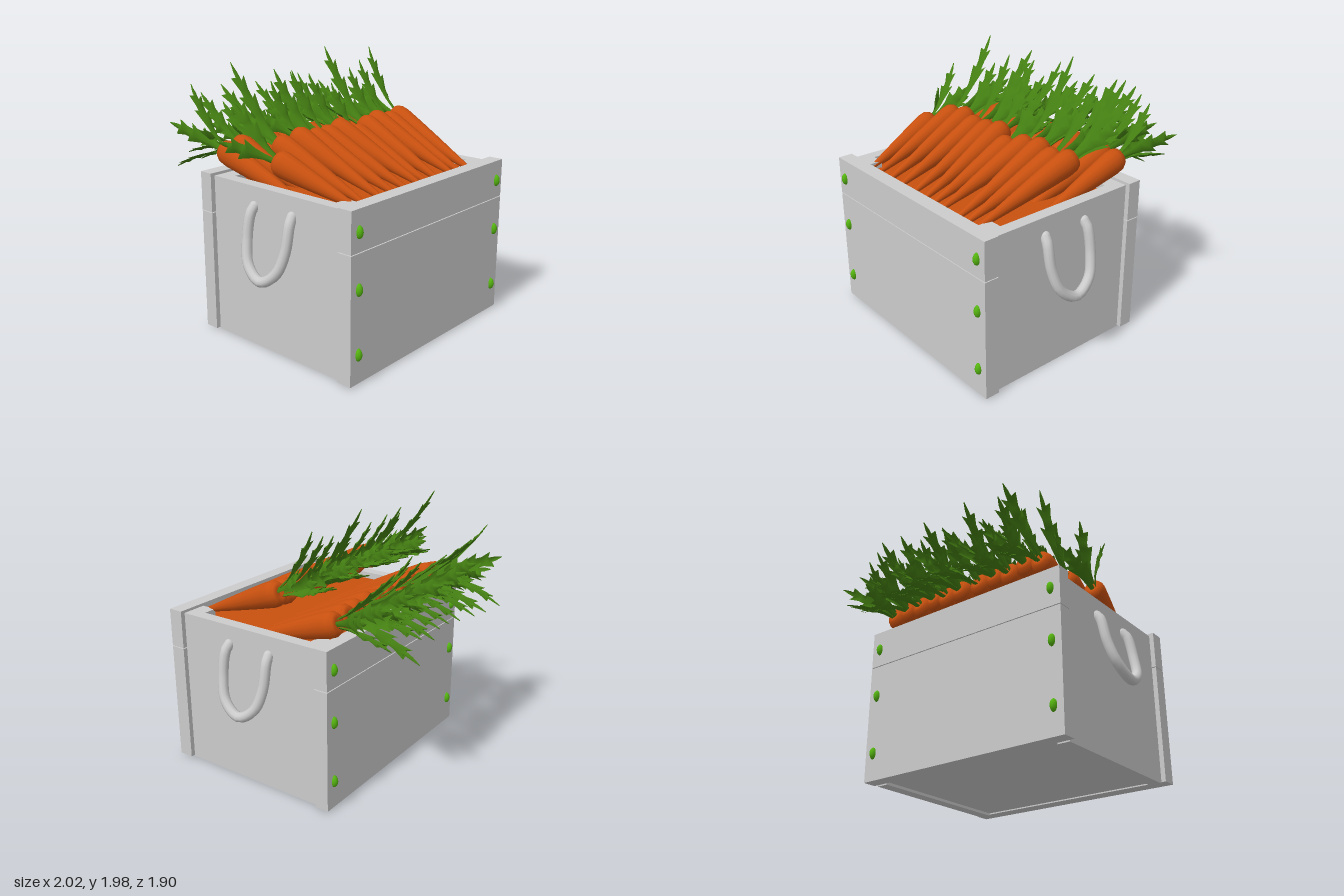
import * as THREE from 'three';

const grey = new THREE.MeshStandardMaterial({ color: 0xcccccc });
const orange = new THREE.MeshStandardMaterial({ color: 0xc8500f });
const green = new THREE.MeshStandardMaterial({ color: 0x447f12, side: THREE.DoubleSide });
const boltGreen = new THREE.MeshStandardMaterial({ color: 0x55b510 });

function add(parent, name, geometry, material, x = 0, y = 0, z = 0) {
  const mesh = new THREE.Mesh(geometry, material);
  mesh.name = name;
  mesh.position.set(x, y, z);
  parent.add(mesh);
  return mesh;
}

// Box given by its low and high corners
function board(parent, name, [x0, y0, z0], [x1, y1, z1], material = grey) {
  add(parent, name, new THREE.BoxGeometry(x1 - x0, y1 - y0, z1 - z0), material,
    (x0 + x1) / 2, (y0 + y1) / 2, (z0 + z1) / 2);
}

// Small seeded generator, values from -1 to 1
let seed = 7;
function jitter() {
  seed = (seed * 16807) % 2147483647;
  return (seed / 2147483647) * 2 - 1;
}

// Leaf along +y that bends to +z; each row: spine position, edge position, half width
const LEAF_ROWS = [
  [0, 0, 0.016], [0.25, 0.25, 0.022], [0.4, 0.42, 0.036], [0.5, 0.64, 0.074],
  [0.6, 0.6, 0.036], [0.68, 0.7, 0.036], [0.74, 0.85, 0.06], [0.82, 0.8, 0.02],
  [0.9, 0.9, 0.016], [1, 1, 0.002],
];

function leafGeometry(length, lean) {
  const positions = [], indices = [];
  LEAF_ROWS.forEach(([spine, edge, half], row) => {
    for (const side of [-1, 0, 1]) {
      const t = side ? edge : spine;
      const fold = side ? 0 : 0.3 * half + 0.006;
      positions.push(side * half, t * length, lean * t ** 1.4 + fold);
    }
    if (row === 0) return;
    for (let k = 0; k < 2; k++) {
      const a = (row - 1) * 3 + k, b = row * 3 + k;
      indices.push(a, a + 1, b + 1, a, b + 1, b);
    }
  });
  const geometry = new THREE.BufferGeometry();
  geometry.setAttribute('position', new THREE.Float32BufferAttribute(positions, 3));
  geometry.setIndex(indices);
  geometry.computeVertexNormals();
  return geometry;
}

// Root from tip (y = -0.84) to the dimple at the crown
const ROOT = new THREE.LatheGeometry([
  [0, -0.84], [0.014, -0.83], [0.026, -0.7], [0.05, -0.45], [0.07, -0.22],
  [0.081, -0.07], [0.078, -0.015], [0.062, 0.022], [0.035, 0.03], [0, 0.015],
].map(([r, y]) => new THREE.Vector2(r, y)), 14);

// One carrot: root pointing from head to tip, with a spray of leaves
function carrot(parent, name, head, tip, leaves) {
  const group = new THREE.Group();
  group.name = name;
  const up = head.clone().sub(tip);
  const scale = up.length() / 0.84;
  up.normalize();
  const out = new THREE.Vector3(1, 0, 0).cross(up).normalize();
  const across = up.clone().cross(out);
  group.quaternion.setFromRotationMatrix(new THREE.Matrix4().makeBasis(across, up, out));
  group.position.copy(head);
  add(group, 'carrotRoot', ROOT, orange).scale.set(1, scale, 1.15);
  for (const { roll, length, lean } of leaves) {
    const holder = new THREE.Group();
    holder.name = 'leafStalk';
    holder.rotation.y = roll;
    add(holder, 'leaf', leafGeometry(length, lean), green, 0, 0.01, 0.02);
    group.add(holder);
  }
  parent.add(group);
}

export function createModel() {
  const model = new THREE.Group();
  model.name = 'carrotCrate';

  // Front and back walls, two boards each
  for (const [name, z0, z1] of [['front', 0.86, 0.97], ['back', -0.43, -0.325]]) {
    board(model, name + 'LowerBoard', [-0.865, 0.01, z0], [0.865, 0.9, z1]);
    board(model, name + 'UpperBoard', [-0.865, 0.906, z0], [0.865, 1.19, z1]);
  }
  board(model, 'floor', [-0.74, 0.02, -0.33], [0.74, 0.07, 0.86]);

  for (const s of [-1, 1]) {
    // Side walls and inner corner posts
    const span = (a, b) => (s > 0 ? [a, b] : [-b, -a]);
    const [w0, w1] = span(0.74, 0.83);
    const [p0, p1] = span(0.64, 0.74);
    board(model, 'sideWall', [w0, 0, -0.325], [w1, 1.17, 0.86]);
    board(model, 'frontCornerPost', [p0, 0.07, 0.74], [p1, 1.17, 0.86]);
    board(model, 'backCornerPost', [p0, 0.07, -0.325], [p1, 1.17, -0.21]);

    // Rope handle hanging outward
    const path = new THREE.CatmullRomCurve3([
      [0.83, 1.03, 0.08], [0.862, 0.99, 0.076], [0.905, 0.8, 0.08], [0.945, 0.65, 0.13],
      [0.965, 0.57, 0.26], [0.945, 0.65, 0.39], [0.905, 0.8, 0.44],
      [0.862, 0.99, 0.444], [0.83, 1.03, 0.436],
    ].map(([x, y, z]) => new THREE.Vector3(s * x, y, z)));
    add(model, 'handle', new THREE.TubeGeometry(path, 28, 0.037, 10), grey);
    for (const z of [0.08, 0.436]) {
      add(model, 'handleEnd', new THREE.SphereGeometry(0.037, 10, 8), grey, s * 0.83, 1.03, z);
    }

    // Bolts
    for (const y of [0.215, 0.66, 1.04]) {
      for (const z of [0.968, -0.428]) {
        add(model, 'bolt', new THREE.SphereGeometry(1, 12, 8), boltGreen, s * 0.79, y, z)
          .scale.set(0.026, 0.045, 0.032);
      }
    }
  }

  // Packed carrots below the visible rows
  board(model, 'carrotBed', [-0.74, 0.9, -0.325], [0.74, 1.12, 0.86], orange);

  // Front row: head x, height, depth, tip x, tip depth, leaf length
  const frontRow = [
    [-0.73, 1.34, 0.22, -0.65, 0.84, 0.42], [-0.59, 1.41, 0.09, -0.55, 0.82, 0.57],
    [-0.42, 1.44, 0.09, -0.39, 0.84, 0.37], [-0.28, 1.415, 0.11, -0.25, 0.84, 0.48],
    [-0.15, 1.415, 0.1, -0.1, 0.82, 0.45], [-0.01, 1.44, 0.09, 0.04, 0.84, 0.38],
    [0.13, 1.385, 0.15, 0.13, 0.82, 0.36], [0.28, 1.425, 0.11, 0.24, 0.84, 0.58],
    [0.42, 1.44, 0.09, 0.42, 0.85, 0.38], [0.56, 1.415, 0.11, 0.51, 0.85, 0.46],
    [0.7, 1.435, 0.09, 0.62, 0.86, 0.53],
  ];
  frontRow.forEach(([x, y, z, tipX, tipZ, length], i) => {
    const side = i === 0 || i % 2 === 0 ? -1 : 1;
    carrot(model, 'frontCarrot', new THREE.Vector3(x, y, z), new THREE.Vector3(tipX, 1.13, tipZ), [
      { roll: 0.2 * jitter(), length, lean: length * 0.58 },
      { roll: side * 1.4, length: length * 0.8, lean: i === 0 ? 0.22 : 0.08 },
      { roll: -side * 0.8, length: 0.38, lean: 0.13 },
      { roll: Math.PI + 0.4 * jitter(), length: 0.42, lean: 0.04 },
    ]);
  });

  // Back row: head x and leaf length
  const backRow = [
    [-0.68, 0.5], [-0.55, 0.45], [-0.41, 0.38], [-0.28, 0.52], [-0.14, 0.45],
    [0.04, 0.52], [0.17, 0.4], [0.29, 0.46], [0.43, 0.5], [0.56, 0.45], [0.69, 0.42],
  ];
  backRow.forEach(([x, length], i) => {
    const last = i === backRow.length - 1;
    const side = last || i % 2 ? 1 : -1;
    const head = new THREE.Vector3(x, 1.325 + 0.015 * jitter(), -0.375);
    const tip = new THREE.Vector3(x * 0.95 + 0.03 * jitter(), 1.04, 0.41);
    carrot(model, 'backCarrot', head, tip, [
      { roll: 0.2 * jitter(), length, lean: length * (0.45 + 0.2 * jitter()) },
      { roll: side * 1.5, length: length * 0.95, lean: last ? 0.18 : 0.09 },
      { roll: -side * 2.2, length: 0.42, lean: 0.12 },
      { roll: Math.PI + 0.3 * jitter(), length: 0.4, lean: 0.3 + 0.12 * jitter() },
    ]);
  });

  return model;
}
